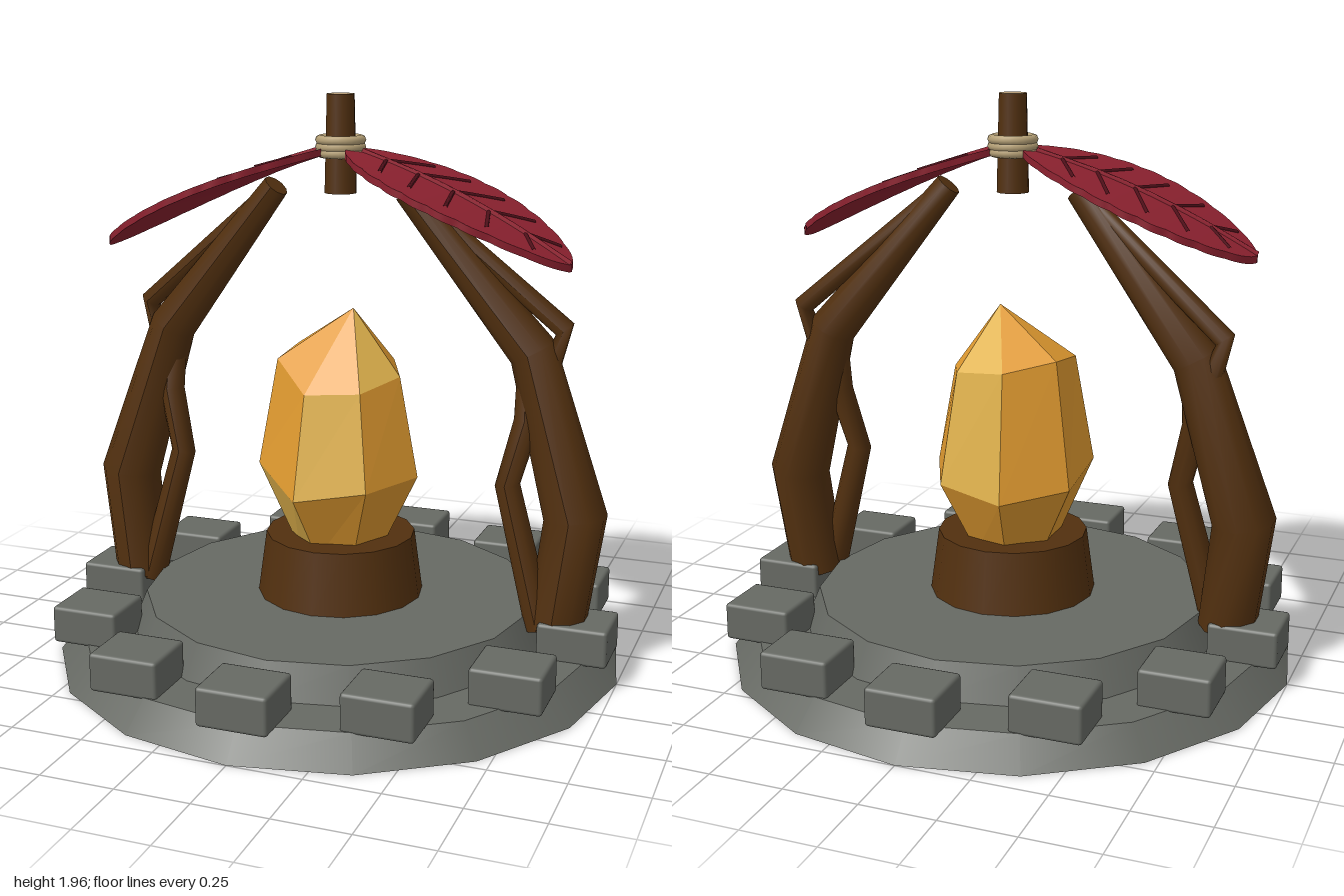
import * as THREE from 'three';
import { RoundedBoxGeometry } from 'three/addons/geometries/RoundedBoxGeometry.js';

const material = (name, color, side = THREE.FrontSide) => {
  const m = new THREE.MeshStandardMaterial({ color, side });
  m.name = name;
  return m;
};

export function createModel() {
  const model = new THREE.Group();
  model.name = 'crystalShrine';
  const stone = material('stone', 0x666963);
  const bark = material('bark', 0x52300f);
  const cutWood = material('cutWood', 0xb59a74);
  const rope = material('rope', 0xb5a076);
  const leafRed = material('leafRed', 0x8e2230);
  const veinRed = material('veinRed', 0x4e1019);
  const amber = material('amber', 0xe09a30);
  const gold = material('gold', 0xe0b24c);

  const add = (name, geometry, mat, x = 0, y = 0, z = 0, parent = model) => {
    const mesh = new THREE.Mesh(geometry, mat);
    mesh.name = name;
    mesh.position.set(x, y, z);
    parent.add(mesh);
    return mesh;
  };

  // Stepped stone base
  add('baseTier', new THREE.CylinderGeometry(0.92, 1, 0.1, 16), stone, 0, 0.05);
  add('upperTier', new THREE.CylinderGeometry(0.69, 0.74, 0.12, 16), stone, 0, 0.158);

  // Ring of square-set stone blocks
  const blockGeometry = new RoundedBoxGeometry(0.24, 0.13, 0.21, 2, 0.012);
  for (let i = 0; i < 12; i++) {
    const a = (i / 12) * Math.PI * 2;
    add('rimBlock', blockGeometry, stone, Math.sin(a) * 0.86, 0.157, Math.cos(a) * 0.86);
  }

  // Wooden pedestal
  add('pedestal', new THREE.CylinderGeometry(0.262, 0.292, 0.22, 16), bark, 0, 0.325);

  // Seven-sided crystal with uneven rings and two facet colours
  const ring = (r, heights) => heights.map((y, i) => {
    const a = (-14 + (i * 360) / 7) * Math.PI / 180;
    return [Math.sin(a) * r, y, Math.cos(a) * r];
  });
  const foot = ring(0.145, Array(7).fill(0.37));
  const belly = ring(0.285, [0.61, 0.65, 0.66, 0.64, 0.61, 0.64, 0.69]);
  const shoulder = ring(0.218, [0.97, 0.98, 1.01, 1.03, 1.05, 1.08, 1.06]);
  const apex = [0.05, 1.24, 0.01];
  const facets = { amber: [], gold: [] };
  for (let i = 0; i < 7; i++) {
    const j = (i + 1) % 7;
    const quad = (lo, hi) => [lo[i], lo[j], hi[j], lo[i], hi[j], hi[i]].flat();
    facets[[2, 6].includes(i) ? 'gold' : 'amber'].push(...quad(foot, belly));
    facets[[0, 3].includes(i) ? 'gold' : 'amber'].push(...quad(belly, shoulder));
    facets[[1, 3].includes(i) ? 'gold' : 'amber'].push(...shoulder[i], ...shoulder[j], ...apex);
  }
  for (const [key, mat] of [['amber', amber], ['gold', gold]]) {
    const g = new THREE.BufferGeometry();
    g.setAttribute('position', new THREE.Float32BufferAttribute(facets[key], 3));
    g.computeVertexNormals();
    add(key + 'CrystalFacets', g, mat);
  }

  // Tapered limb: a cylinder bent along points [x, y, z, radius]
  const limb = (points, side) => {
    const n = points.length - 1;
    const p = points.map(([x, y, z]) => new THREE.Vector3(x * side, y, z));
    const g = new THREE.CylinderGeometry(1, 1, 1, 10, n);
    const pos = g.attributes.position;
    for (let i = 0; i < pos.count; i++) {
      const k = Math.round((pos.getY(i) + 0.5) * n);
      const t = p[Math.min(k + 1, n)].clone().sub(p[Math.max(k - 1, 0)]).normalize();
      const b = new THREE.Vector3(0, 0, 1).addScaledVector(t, -t.z).normalize();
      const a = t.clone().cross(b);
      const v = p[k].clone()
        .addScaledVector(a, pos.getX(i) * points[k][3])
        .addScaledVector(b, pos.getZ(i) * points[k][3]);
      pos.setXYZ(i, v.x, v.y, v.z);
    }
    g.computeVertexNormals();
    return g;
  };

  // Leaf surface: s runs from stem to tip, v across, lift along y
  const LENGTH = 0.79, TURN = 0.14;
  const onLeaf = (side, s, v, lift = 0) => {
    const x = 0.035 + s * LENGTH * Math.cos(TURN) - v * Math.sin(TURN);
    const z = s * LENGTH * Math.sin(TURN) + v * Math.cos(TURN);
    return new THREE.Vector3(side * x, 1.78 - 0.24 * x - 0.22 * x * x + lift, z);
  };
  const leafWidth = (s) => 0.335 * Math.pow(Math.max(Math.sin(Math.PI * s), 0.004), 0.6)
    * (0.97 + 0.04 * Math.abs(Math.sin(s * Math.PI * 9)));

  for (const side of [1, -1]) {
    // Bent trunk with an outer and an inner branch
    const arch = new THREE.Group();
    arch.name = side > 0 ? 'leftArch' : 'rightArch';
    model.add(arch);
    add('trunk', limb([[0.785, 0.18, 0, 0.1], [0.835, 0.57, -0.02, 0.108],
      [0.665, 1.12, -0.055, 0.082], [0.235, 1.645, 0, 0.045]], side), bark, 0, 0, 0, arch);
    add('outerBranch', limb([[0.69, 0.98, -0.06, 0.045], [0.765, 1.2, -0.08, 0.036],
      [0.28, 1.61, -0.01, 0.03]], side), bark, 0, 0, 0, arch);
    add('innerBranch', limb([[0.735, 0.18, 0.03, 0.05], [0.605, 0.67, 0.01, 0.043],
      [0.66, 0.89, -0.02, 0.045], [0.655, 1.08, -0.05, 0.04]], side), bark, 0, 0, 0, arch);

    // Drooping leaf with a scalloped edge
    const leaf = new THREE.Group();
    leaf.name = side > 0 ? 'leftLeaf' : 'rightLeaf';
    model.add(leaf);
    const g = new THREE.BoxGeometry(1, 0.024, 2, 54, 1, 4);
    const pos = g.attributes.position;
    for (let i = 0; i < pos.count; i++) {
      const s = THREE.MathUtils.clamp(side * pos.getX(i) + 0.5, 0, 1);
      const v = onLeaf(side, s, pos.getZ(i) * leafWidth(s), pos.getY(i));
      pos.setXYZ(i, v.x, v.y, v.z);
    }
    g.computeVertexNormals();
    add('leafBlade', g, leafRed, 0, 0, 0, leaf);

    // Midrib and side veins lying on the blade
    const vein = (s0, s1, v1, r) => {
      const path = [0, 0.33, 0.67, 1].map((t) => onLeaf(side, s0 + (s1 - s0) * t, v1 * t, 0.012));
      return new THREE.TubeGeometry(new THREE.CatmullRomCurve3(path), 8, r, 6);
    };
    add('midrib', vein(0.06, 1, 0, 0.012), leafRed, 0, 0, 0, leaf);
    for (const s of [0.17, 0.32, 0.48, 0.64, 0.8]) {
      for (const edge of [-1, 1]) {
        const end = s + 0.1;
        add('sideVein', vein(s, end, edge * leafWidth(end) * 0.72, 0.007), veinRed, 0, 0, 0, leaf);
      }
    }
  }

  // Top post with pale cut ends, bound by three rope coils
  add('topPost', new THREE.CylinderGeometry(0.047, 0.055, 0.33, 12),
    [bark, cutWood, cutWood], 0, 1.795);
  const coil = new THREE.TorusGeometry(0.07, 0.016, 8, 24).rotateX(Math.PI / 2);
  for (const y of [1.765, 1.785, 1.808]) add('ropeCoil', coil, rope, 0, y);

  return model;
}
